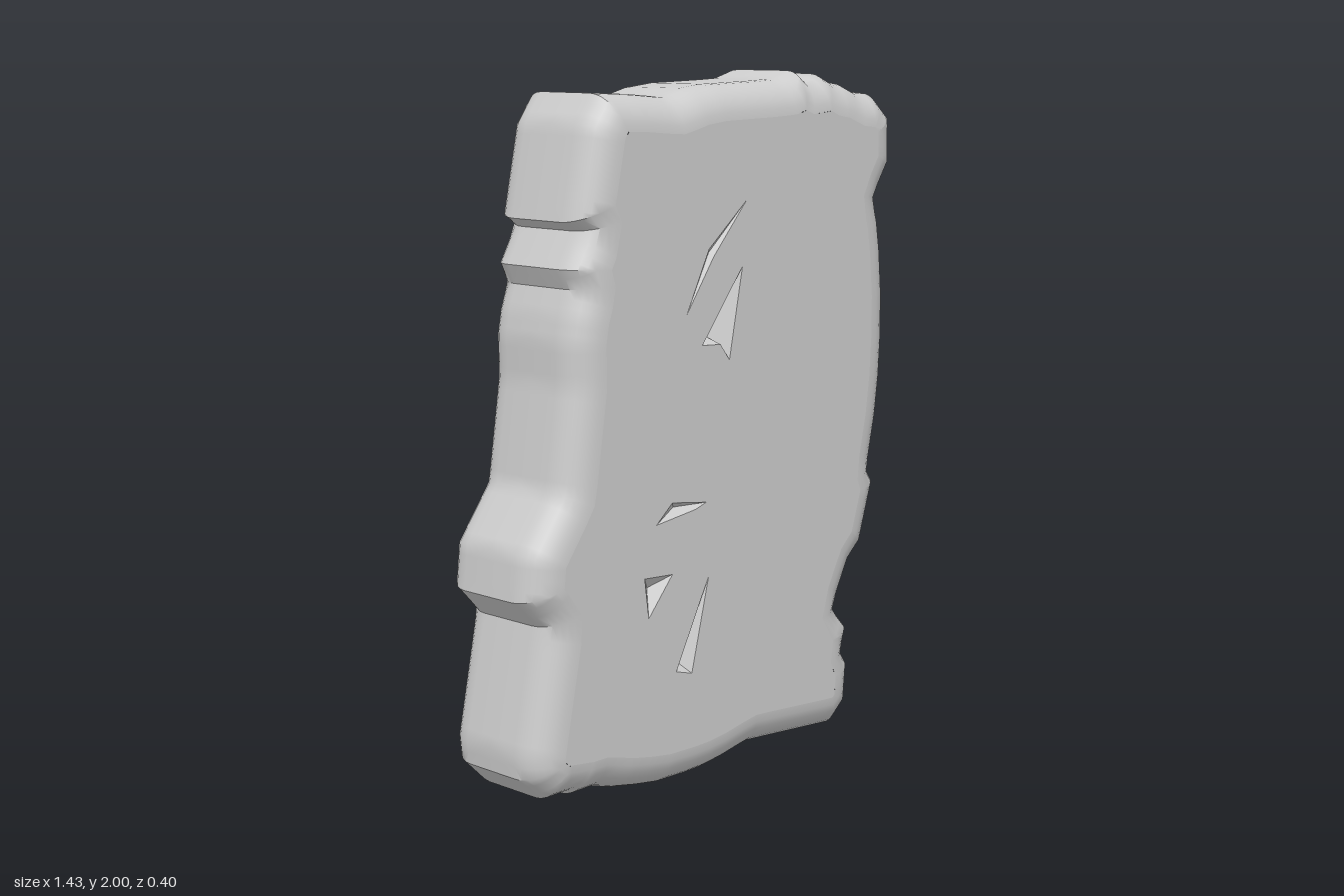
import * as THREE from 'three';
import { mergeGeometries, toCreasedNormals } from 'three/addons/utils/BufferGeometryUtils.js';

const V = (x, y) => new THREE.Vector2(x, y);
const HALF = 0.2, R = 0.1, SEG = 7;

// Ragged silhouette, one list per side (clockwise from the upper left)
const top = [-.43, 1.95, -.3, 1.945, -.18, 1.935, -.1, 1.957, -.02, 1.967, .17, 1.973, .25, 1.977, .325, 2, .357, 1.975, .42, 1.99,
  .47, 1.967, .515, 1.96, .575, 1.935, .64, 1.93, .71, 1.865];
const left = [.712, 1.72, .65, 1.62, .667, 1.56, .68, 1.47, .69, 1.34, .69, 1.21, .683, 1.09, .668, .97, .635, .81, .66, .775,
  .602, .58, .55, .53, .49, .405, .55, .34, .527, .265, .553, .23, .542, .1];
const bottom = [.475, .037, .125, .048, .07, .035, .01, .02, -.06, .008, -.125, .003, -.23, 0, -.31, .008, -.39, .02, -.47, .04,
  -.55, .034, -.56, .046, -.64, .04];
const right = [-.71, .107, -.717, .175, -.65, .525, -.72, .6, -.707, .73, -.6, .885, -.56, 1.17, -.562, 1.29, -.55, 1.36, -.527, 1.43,
  -.553, 1.485, -.5, 1.585, -.537, 1.61, -.485, 1.87];

// Chips in the faces: rim corners, then the deepest point (x, y, depth)
const chips = [
  { name: 'largeChip', rim: [.05, 1.46, -.105, 1.25, -.035, 1.247, 0, 1.2], pit: [-.025, 1.262, .07] },
  { name: 'longScratch', rim: [-.165, 1.34, -.062, 1.495, .065, 1.645, -.08, 1.517], pit: [-.071, 1.506, .012] },
  { name: 'flatChip', rim: [-.28, .765, -.13, .79, -.09, .805, -.22, .82], pit: [-.19, .8, .03] },
  { name: 'cornerChip', rim: [-.325, .62, -.31, .505, -.22, .617], pit: [-.29, .585, .03] },
  { name: 'lowChip', rim: [-.08, .59, -.205, .335, -.145, .32], pit: [-.165, .348, .04] }
];

function pairs(a) {
  const out = [];
  for (let i = 0; i < a.length; i += 2) out.push(V(a[i], a[i + 1]));
  return out;
}

// Nearest point of the silhouette
function nearest(p, poly) {
  let best = null, bd = Infinity;
  poly.forEach((a, i) => {
    const d = poly[(i + 1) % poly.length].clone().sub(a);
    const t = THREE.MathUtils.clamp(p.clone().sub(a).dot(d) / d.lengthSq(), 0, 1);
    const c = a.clone().addScaledVector(d, t), l = c.distanceTo(p);
    if (l < bd) { bd = l; best = c; }
  });
  return best;
}

// Silhouette split into short steps
function resample(poly, step) {
  const out = [];
  poly.forEach((a, i) => {
    const b = poly[(i + 1) % poly.length], n = Math.max(1, Math.ceil(a.distanceTo(b) / step));
    for (let k = 0; k < n; k++) out.push(a.clone().lerp(b, k / n));
  });
  return out;
}

// Rings that shrink inward by true distance, so notches and corners stay clean
function insetRings(poly, levels) {
  const start = resample(poly, 0.035), n = start.length;
  let pts = start.map((p, i) => {
    const a = p.clone().sub(start[(i + n - 1) % n]).normalize();
    const b = start[(i + 1) % n].clone().sub(p).normalize();
    const t = a.add(b).normalize();
    return p.clone().add(V(-t.y, t.x).multiplyScalar(0.001));
  });
  const rings = [start];
  for (let k = 1; k < levels.length; k++) {
    for (let s = 1; s <= 6; s++) {
      const target = THREE.MathUtils.lerp(levels[k - 1], levels[k], s / 6);
      pts = pts.map(p => {
        for (let j = 0; j < 3; j++) {
          const c = nearest(p, poly), d = p.clone().sub(c);
          p = c.addScaledVector(d, target / d.length());
        }
        return p;
      });
    }
    rings.push(pts);
  }
  return rings;
}

function triangles(pos) {
  const g = new THREE.BufferGeometry();
  g.setAttribute('position', new THREE.Float32BufferAttribute(pos, 3));
  g.computeVertexNormals();
  return g;
}

// Copy mirrored to the back, with corner order swapped
function mirrorZ(geo) {
  const g = geo.clone().scale(1, 1, -1);
  for (const key of ['position', 'normal']) {
    const a = g.attributes[key];
    for (let i = 0; i < a.count; i += 3) {
      const b = [a.getX(i + 1), a.getY(i + 1), a.getZ(i + 1)];
      a.setXYZ(i + 1, a.getX(i + 2), a.getY(i + 2), a.getZ(i + 2));
      a.setXYZ(i + 2, ...b);
    }
  }
  return g;
}

export function createModel() {
  const group = new THREE.Group();
  group.name = 'stoneSlab';
  const stone = new THREE.MeshStandardMaterial({ color: 0xcccccc });
  stone.name = 'stone grey';
  const add = (name, half) => {
    const mesh = new THREE.Mesh(mergeGeometries([half, mirrorZ(half)]), stone);
    mesh.name = name;
    group.add(mesh);
  };

  // Edge: straight wall from the middle, then a quarter-round
  const outline = pairs([...top, ...left, ...bottom, ...right]).reverse();
  const angles = Array.from({ length: SEG + 1 }, (_, i) => i / SEG * Math.PI / 2);
  const rings = insetRings(outline, angles.map(t => R * (1 - Math.cos(t))));
  const loops = [{ ring: rings[0], z: 0 }, ...rings.map((ring, i) => ({ ring, z: HALF - R + R * Math.sin(angles[i]) }))];
  const pos = [], n = rings[0].length;
  for (let k = 0; k + 1 < loops.length; k++) {
    const lo = loops[k], hi = loops[k + 1];
    for (let i = 0; i < n; i++) {
      const j = (i + 1) % n;
      const a = [lo.ring[i].x, lo.ring[i].y, lo.z], b = [lo.ring[j].x, lo.ring[j].y, lo.z];
      const c = [hi.ring[j].x, hi.ring[j].y, hi.z], d = [hi.ring[i].x, hi.ring[i].y, hi.z];
      pos.push(...a, ...b, ...c, ...a, ...c, ...d);
    }
  }
  add('roundedEdge', toCreasedNormals(triangles(pos), 0.7));

  // Flat faces with openings for the chips
  const rim = [];
  for (const p of rings[SEG]) if (!rim.length || rim[rim.length - 1].distanceTo(p) > 0.003) rim.push(p);
  const shape = new THREE.Shape(rim);
  for (const chip of chips) {
    chip.points = pairs(chip.rim);
    if (THREE.ShapeUtils.isClockWise(chip.points)) chip.points.reverse();
    shape.holes.push(new THREE.Path(chip.points));
  }
  const face = new THREE.ShapeGeometry(shape).toNonIndexed().translate(0, 0, HALF);
  face.deleteAttribute('uv');
  add('flatFaces', face);

  // Chips: facets running down to the deepest point
  for (const { name, points, pit } of chips) {
    const facets = [];
    points.forEach((a, i) => {
      const b = points[(i + 1) % points.length];
      facets.push(a.x, a.y, HALF, b.x, b.y, HALF, pit[0], pit[1], HALF - pit[2]);
    });
    add(name, triangles(facets));
  }
  return group;
}
